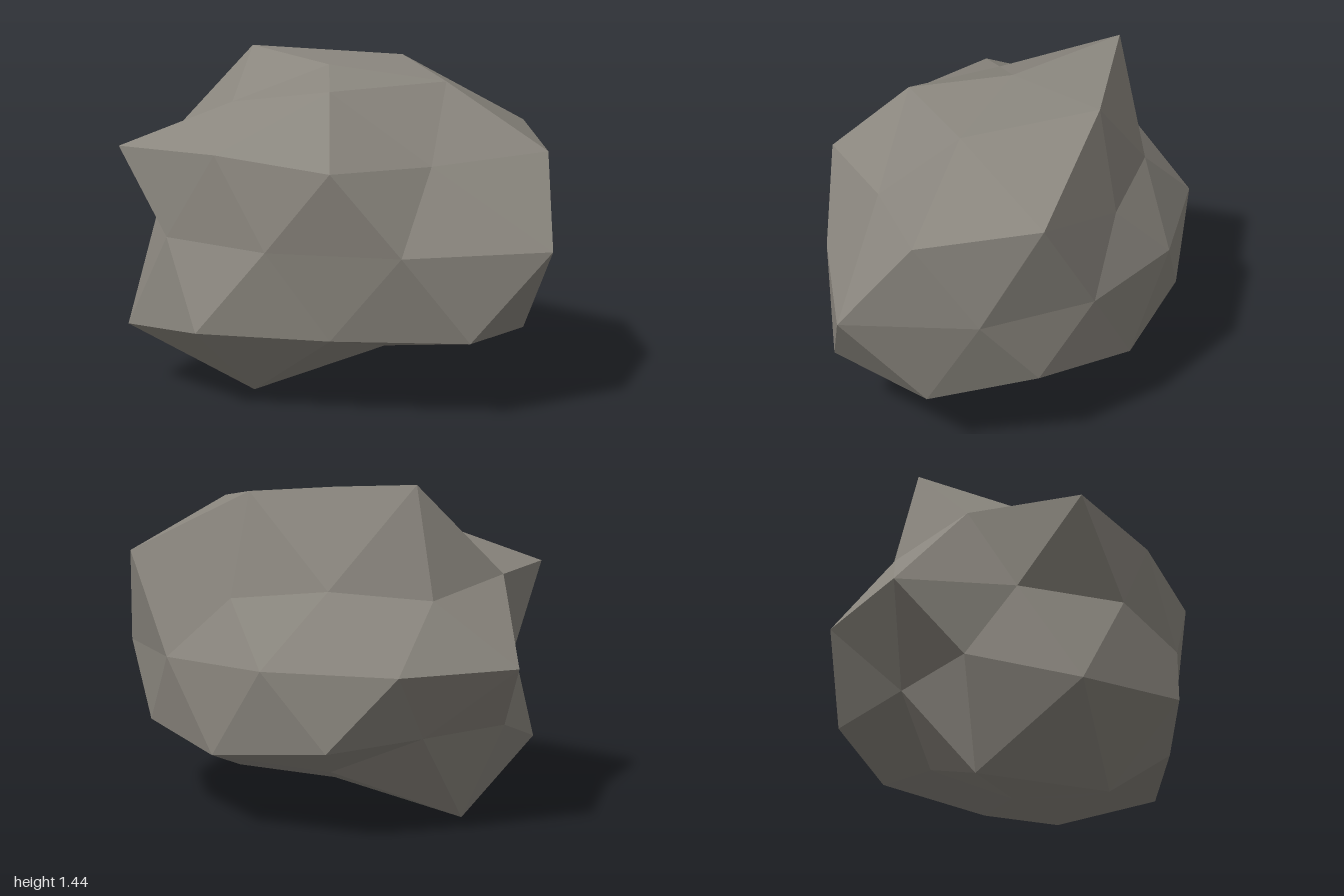
import * as THREE from 'three';

// Faceted boulder: a once-subdivided icosphere (pole on y) with a radius per vertex.
export function createModel() {
  const centre = new THREE.Vector3(-0.08, 0.71, -0.02);
  const scale = new THREE.Vector3(1.2, 0.885, 1);
  const corner = 0.4472, edge = 0.5257, tip = 0.8507; // heights on the unit sphere

  // A ring of points: start angle in degrees, heights (repeating), radii
  const ring = (start, heights, radii) => radii.map((k, i) => {
    const y = heights[i % heights.length];
    const r = Math.sqrt(1 - y * y);
    const a = THREE.MathUtils.degToRad(start + (i * 360) / radii.length);
    return new THREE.Vector3(r * Math.cos(a), y, r * Math.sin(a))
      .multiplyScalar(k).multiply(scale).add(centre);
  });

  const top = ring(0, [1], [0.775])[0];
  const crown = ring(0, [tip], [0.843, 0.825, 0.71, 0.965, 0.92]);
  const upper = ring(0, [corner, edge],
    [0.912, 0.705, 0.857, 0.8, 0.9, 0.748, 0.68, 0.66, 0.657, 0.91]);
  const equator = ring(18, [0],
    [0.946, 0.78, 0.72, 0.72, 0.657, 0.806, 0.79, 0.73, 0.72, 0.773]);
  const lower = ring(0, [-edge, -corner],
    [0.87, 0.915, 0.785, 0.893, 0.925, 0.727, 0.655, 0.81, 0.815, 0.79]);
  const base = ring(36, [-tip], [0.65, 0.89, 0.943, 0.647, 0.7]);
  const bottom = ring(0, [-1], [0.674])[0];

  const points = [];
  const tri = (a, b, c) => points.push(a, b, c);

  // Top and bottom caps
  for (let i = 0; i < 5; i++) {
    const n = (i + 1) % 5, j = 2 * i;
    tri(top, crown[n], crown[i]);
    tri(crown[i], upper[j + 1], upper[j]);
    tri(crown[i], crown[n], upper[j + 1]);
    tri(crown[i], upper[j], upper[(j + 9) % 10]);

    tri(lower[j], lower[j + 1], base[i]);
    tri(lower[j + 1], lower[(j + 2) % 10], base[i]);
    tri(lower[(j + 2) % 10], base[n], base[i]);
    tri(base[i], base[n], bottom);
  }
  // Two zigzag bands around the middle
  for (let j = 0; j < 10; j++) {
    const n = (j + 1) % 10;
    tri(upper[j], upper[n], equator[j]);
    tri(upper[n], equator[n], equator[j]);
    tri(equator[j], equator[n], lower[n]);
    tri(equator[j], lower[n], lower[j]);
  }

  const geometry = new THREE.BufferGeometry().setFromPoints(points);
  geometry.computeVertexNormals(); // unshared corners give flat facets

  const stone = new THREE.MeshStandardMaterial({ color: 0x8a867e, flatShading: true });
  stone.name = 'stone grey';
  const boulder = new THREE.Mesh(geometry, stone);
  boulder.name = 'boulder';

  const group = new THREE.Group();
  group.name = 'rock';
  group.add(boulder);
  return group;
}
